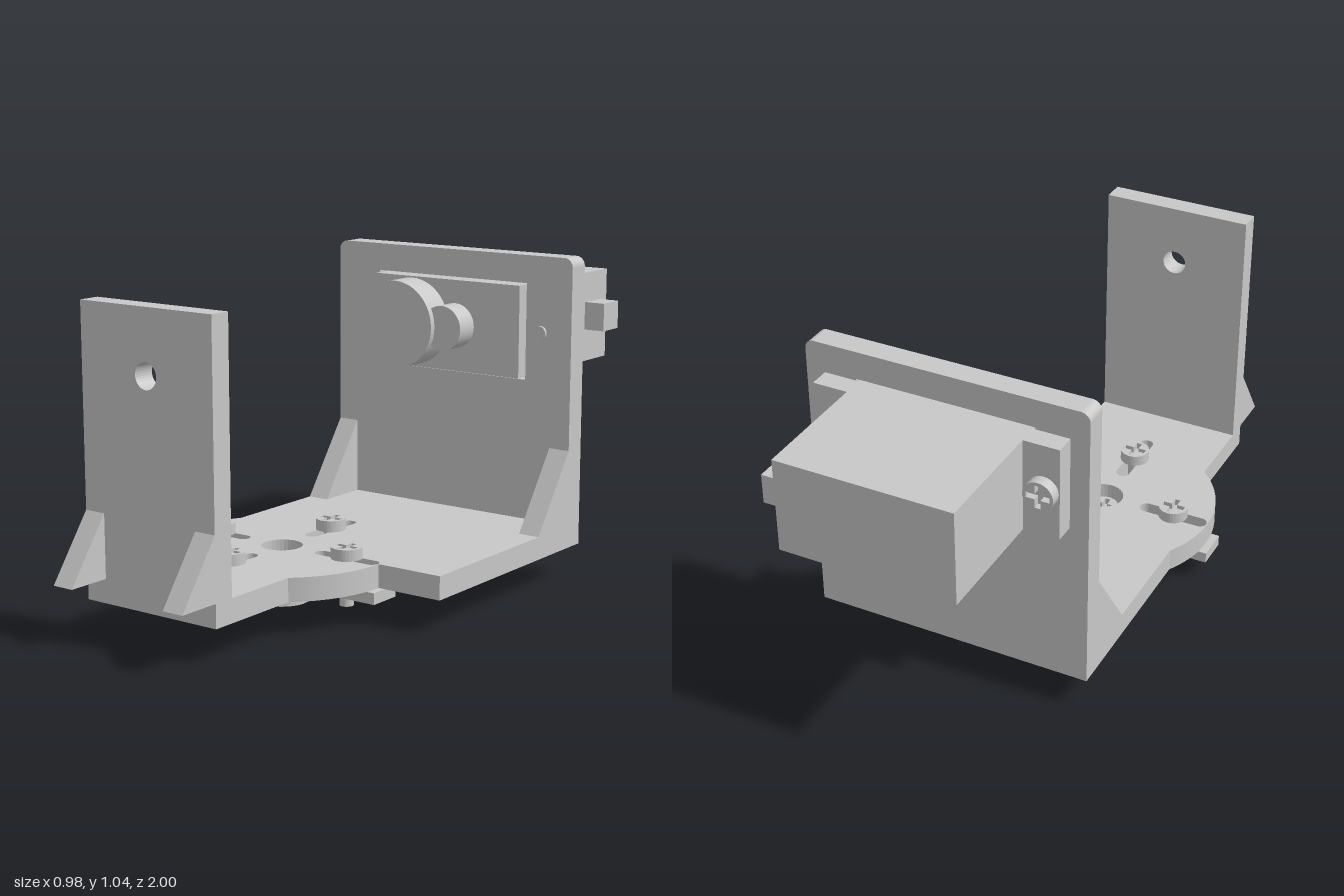
import * as THREE from 'three';

const grey = new THREE.MeshStandardMaterial({ color: 0xc8c8c8 });
grey.name = 'lightGrey';

const CX = -0.099, CZ = 0.258; // pivot centre on the base
const FLOOR = 0.106, DECK = 0.18; // underside and top of the base plate
const AXIS = 0.798; // height of the servo axis

function add(parent, name, geometry, x = 0, y = 0, z = 0) {
  const m = new THREE.Mesh(geometry, grey);
  m.name = name;
  m.position.set(x, y, z);
  parent.add(m);
  return m;
}

// Box given by its minimum and maximum on each axis
function box(parent, name, x0, x1, y0, y1, z0, z1) {
  return add(parent, name, new THREE.BoxGeometry(x1 - x0, y1 - y0, z1 - z0),
    (x0 + x1) / 2, (y0 + y1) / 2, (z0 + z1) / 2);
}

const extrude = (shape, depth) =>
  new THREE.ExtrudeGeometry(shape, { depth, bevelEnabled: false, curveSegments: 16 });

const polygon = (pts) => new THREE.Shape(pts.map(([x, y]) => new THREE.Vector2(x, y)));

function circleHole(x, y, r) {
  const p = new THREE.Path();
  p.absarc(x, y, r, 0, Math.PI * 2, true);
  return p;
}

function slotHole(x, y, half, r, alongX) {
  const p = new THREE.Path(), d = half - r;
  if (alongX) {
    p.absarc(x + d, y, r, -Math.PI / 2, Math.PI / 2, false);
    p.absarc(x - d, y, r, Math.PI / 2, Math.PI * 1.5, false);
  } else {
    p.absarc(x, y + d, r, 0, Math.PI, false);
    p.absarc(x, y - d, r, Math.PI, Math.PI * 2, false);
  }
  p.closePath();
  return p;
}

// Outline of a plus sign with arm length a and half width w
const crossPoints = (a, w) => [
  [a, -w], [a, w], [w, w], [w, a], [-w, a], [-w, w],
  [-a, w], [-a, -w], [-w, -w], [-w, -a], [w, -a], [w, -w],
];

// Cross-recessed screw: head sits on y = 0, shank points down
function screw(parent, name, length) {
  const g = new THREE.Group();
  g.name = name;
  const head = new THREE.Shape();
  head.absarc(0, 0, 0.048, 0, Math.PI * 2, false);
  head.holes.push(polygon(crossPoints(0.037, 0.009)));
  add(g, 'screwHead', extrude(head, 0.022).rotateX(-Math.PI / 2), 0, 0.014, 0);
  add(g, 'screwHeadBase', new THREE.CylinderGeometry(0.048, 0.048, 0.014, 32), 0, 0.007, 0);
  add(g, 'screwShank', new THREE.CylinderGeometry(0.022, 0.022, length, 20), 0, -length / 2, 0);
  parent.add(g);
  return g;
}

// Triangular rib, profile in (z, y), spanning x0..x1
function gusset(parent, name, x0, x1, pts) {
  const geo = extrude(polygon(pts.map(([z, y]) => [-z, y])), x1 - x0);
  add(parent, name, geo.rotateY(Math.PI / 2), x0, 0, 0);
}

export function createModel() {
  const root = new THREE.Group();
  root.name = 'servoBracket';

  // Base plate with round pad, centre hole and four slots (shape y becomes z)
  const base = new THREE.Shape();
  base.moveTo(-0.42, -0.47);
  base.lineTo(0.492, -0.47);
  base.lineTo(0.492, CZ);
  base.absarc(CX, CZ, 0.37, 0, 0.847, false);
  base.lineTo(0.147, 0.79);
  base.lineTo(-0.345, 0.79);
  base.absarc(CX, CZ, 0.37, Math.PI - 0.847, 3.667, false);
  base.closePath();
  base.holes.push(circleHole(CX, CZ, 0.065));
  for (const s of [-1, 1]) {
    base.holes.push(slotHole(CX + s * 0.25, CZ, 0.117, 0.023, true));
    base.holes.push(slotHole(CX, CZ + s * 0.25, 0.12, 0.023, false));
  }
  add(root, 'basePlate', extrude(base, DECK - FLOOR).rotateX(Math.PI / 2), 0, DECK, 0);

  // Front arm with pivot hole
  const arm = polygon([[-0.345, FLOOR], [0.147, FLOOR], [0.147, 0.994], [-0.345, 0.994]]);
  arm.holes.push(circleHole(CX, AXIS, 0.04));
  add(root, 'frontArm', extrude(arm, 0.07), 0, 0, 0.79);

  // Back plate with rounded top corners and a window for the servo
  const back = new THREE.Shape(), r = 0.03, top = 1.043;
  back.moveTo(-0.42, FLOOR);
  back.lineTo(0.492, FLOOR);
  back.absarc(0.492 - r, top - r, r, 0, Math.PI / 2, false);
  back.absarc(-0.42 + r, top - r, r, Math.PI / 2, Math.PI, false);
  back.closePath();
  back.holes.push(polygon([[-0.252, 0.64], [-0.252, 0.953], [0.325, 0.953], [0.325, 0.64]]));
  add(root, 'backPlate', extrude(back, 0.075), 0, 0, -0.545);

  // Stiffening ribs
  for (const [x0, x1] of [[-0.42, -0.347], [0.42, 0.492]])
    gusset(root, 'backRib', x0, x1, [[-0.47, DECK], [-0.47, 0.427], [-0.295, DECK]]);
  for (const [x0, x1] of [[-0.345, -0.273], [0.075, 0.147]])
    gusset(root, 'frontRib', x0, x1, [[1.0, DECK], [0.86, 0.377], [0.86, DECK]]);

  // Servo motor
  const servo = new THREE.Group();
  servo.name = 'servo';
  root.add(servo);
  box(servo, 'servoBody', -0.245, 0.317, 0.647, 0.947, -1.0, -0.44);
  box(servo, 'leftFlange', 0.317, 0.43, 0.647, 0.947, -0.61, -0.545);
  box(servo, 'rightFlange', -0.36, -0.245, 0.647, 0.947, -0.61, -0.545);
  box(servo, 'cableSocket', 0.317, 0.39, 0.755, 0.848, -0.953, -0.857);
  const boss = (rad, len) =>
    new THREE.CylinderGeometry(rad, rad, len, 48).rotateX(Math.PI / 2);
  add(servo, 'gearBoss', boss(0.144, 0.1), CX, AXIS, -0.39);
  add(servo, 'smallGearBoss', boss(0.073, 0.08), 0.072, AXIS, -0.4);
  for (const x of [-0.309, 0.38]) {
    const s = screw(servo, 'flangeScrew', 0.15);
    s.position.set(x, AXIS, -0.61);
    s.rotation.x = -Math.PI / 2;
  }

  // Cross-shaped horn under the base
  const horn = new THREE.Group();
  horn.name = 'servoHorn';
  horn.position.set(CX, 0, CZ);
  root.add(horn);
  add(horn, 'hornArms', extrude(polygon(crossPoints(0.393, 0.055)), 0.036).rotateX(-Math.PI / 2), 0, 0.07, 0);
  add(horn, 'hornHub', new THREE.CylinderGeometry(0.085, 0.085, 0.094, 40), 0, 0.053, 0);
  add(horn, 'hornHubTip', new THREE.CylinderGeometry(0.058, 0.058, 0.012, 32), 0, 0.006, 0);
  screw(horn, 'centreScrew', 0.06).position.y = FLOOR;
  for (const [x, z] of [[0.25, 0], [-0.25, 0], [0, 0.25], [0, -0.25]])
    screw(horn, 'hornScrew', 0.148).position.set(x, DECK, z);

  return root;
}
